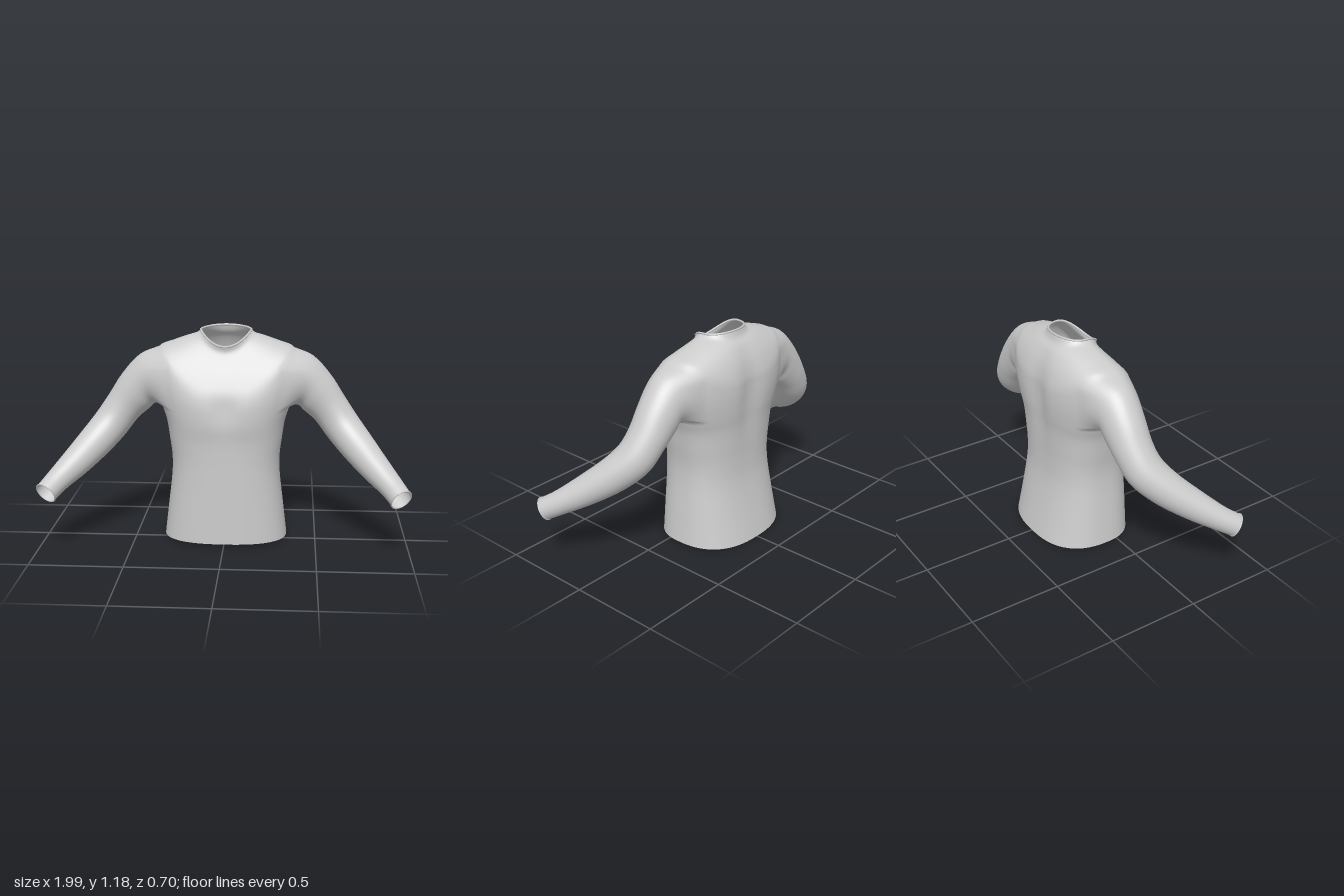
import * as THREE from 'three';
import { mergeGeometries, mergeVertices } from 'three/addons/utils/BufferGeometryUtils.js';

const V = (x, y, z) => new THREE.Vector3(x, y, z);
const STEPS = 5;            // subdivisions between key sections
const COLS = 40;            // columns of the half torso, back to front
const LO = 11, HI = 29;     // armhole columns
const ARM_A = 6, ARM_B = 9; // armhole key rows (armpit, shoulder top)

// Torso sections: side x, y, z | front y, z | back y, z
const TORSO = [
  [0.34, 0.02, -0.07, 0.02, 0.165, 0.008, -0.35],
  [0.32, 0.19, -0.07, 0.19, 0.165, 0.18, -0.313],
  [0.30, 0.36, -0.07, 0.36, 0.165, 0.35, -0.283],
  [0.297, 0.47, -0.07, 0.47, 0.165, 0.47, -0.277],
  [0.31, 0.58, -0.07, 0.58, 0.168, 0.58, -0.28],
  [0.325, 0.68, -0.07, 0.67, 0.178, 0.68, -0.286],
  [0.35, 0.76, -0.075, 0.74, 0.178, 0.76, -0.296],
  [0.375, 0.87, -0.08, 0.79, 0.172, 0.83, -0.302],
  [0.385, 0.98, -0.08, 0.84, 0.158, 0.89, -0.303],
  [0.37, 1.07, -0.08, 0.89, 0.135, 0.95, -0.298],
  [0.29, 1.105, -0.085, 0.96, 0.098, 1.03, -0.275],
  [0.21, 1.133, -0.085, 1.02, 0.062, 1.10, -0.238],
  [0.16, 1.15, -0.08, 1.06, 0.043, 1.14, -0.203],
  [0.137, 1.168, -0.08, 1.09, 0.045, 1.178, -0.188],
];

// Sleeve sections: centre x, y, z | radius up, radius across | how far the ring turns to the arm
const SLEEVE = [
  [0.435, 0.89, -0.085, 0.142, 0.122, 0.35],
  [0.50, 0.822, -0.088, 0.122, 0.112, 0.75],
  [0.57, 0.735, -0.085, 0.104, 0.105, 1],
  [0.64, 0.64, -0.06, 0.1, 0.103, 1],
  [0.715, 0.555, 0.01, 0.094, 0.094, 1],
  [0.81, 0.46, 0.125, 0.08, 0.08, 1],
  [0.895, 0.383, 0.235, 0.064, 0.064, 1],
  [0.937, 0.34, 0.305, 0.06, 0.06, 1],
];

const signedPow = (v, p) => Math.sign(v) * Math.pow(Math.abs(v), p);

// Rows of points for the model's left half of the body
function torsoGrid() {
  const curve = f => new THREE.CatmullRomCurve3(TORSO.map(f), false, 'catmullrom');
  const side = curve(r => V(r[0], r[1], r[2]));
  const front = curve(r => V(0, r[3], r[4]));
  const back = curve(r => V(0, r[5], r[6]));
  const rows = (TORSO.length - 1) * STEPS;
  const grid = [];
  for (let i = 0; i <= rows; i++) {
    const t = i / rows;
    const s = side.getPoint(t), f = front.getPoint(t), b = back.getPoint(t);
    const p = 0.8 + 0.2 * THREE.MathUtils.smoothstep(t, 0.75, 1);
    // furrow along the spine and between the chest muscles
    const chest = Math.exp(-(((t - 0.5) / 0.13) ** 2));
    const spine = Math.exp(-(((t - 0.58) / 0.22) ** 2));
    grid.push(Array.from({ length: COLS + 1 }, (_, j) => {
      const a = (j / COLS - 0.5) * Math.PI;
      const sn = Math.sin(a), end = sn > 0 ? f : b;
      const x = j % COLS ? s.x * signedPow(Math.cos(a), p) : 0;
      let z = s.z + (end.z - s.z) * Math.pow(Math.abs(sn), p);
      const groove = Math.exp(-((x / 0.07) ** 2)) * Math.abs(sn);
      z += sn > 0 ? -0.016 * chest * groove : 0.025 * spine * groove;
      return V(x, s.y + (end.y - s.y) * sn * sn, z);
    }));
  }
  return grid;
}

// Points around the armhole: top, front, bottom, back
function armholeLoop(grid) {
  const a = ARM_A * STEPS, b = ARM_B * STEPS, loop = [];
  for (let j = LO; j < HI; j++) loop.push(grid[b][j]);
  for (let i = b; i > a; i--) loop.push(grid[i][HI]);
  for (let j = HI; j > LO; j--) loop.push(grid[a][j]);
  for (let i = a; i < b; i++) loop.push(grid[i][LO]);
  return loop;
}

// Rings of points from the armhole to the cuff
function sleeveGrid(loop) {
  const centres = SLEEVE.map(r => V(r[0], r[1], r[2]));
  const angles = loop.map(p => Math.atan2(p.z - centres[0].z, p.y - centres[0].y));
  const last = centres.length - 1;
  const rings = SLEEVE.map(([, , , ru, rv, turn], i) => {
    const tangent = centres[Math.min(i + 1, last)].clone().sub(centres[Math.max(i - 1, 0)]).normalize();
    const n = V(1, 0, 0).lerp(tangent, turn).normalize();
    const u = V(0, 0, 1).cross(n).normalize();
    const v = n.clone().cross(u);
    return angles.map(a => centres[i].clone()
      .addScaledVector(u, ru * Math.cos(a)).addScaledVector(v, rv * Math.sin(a)));
  });
  const curves = loop.map((p, k) =>
    new THREE.CatmullRomCurve3([p, ...rings.map(r => r[k])], false, 'centripetal'));
  const count = SLEEVE.length * STEPS;
  return Array.from({ length: count + 1 }, (_, i) =>
    curves.map((c, k) => (i === 0 ? loop[k].clone() : c.getPoint(i / count))));
}

// Triangles between neighbouring grid rows
function skin(grid, { closed = false, flip = false, skip = () => false }) {
  const out = [];
  const cols = grid[0].length;
  for (let i = 0; i < grid.length - 1; i++) {
    for (let j = 0; j < (closed ? cols : cols - 1); j++) {
      if (skip(i, j)) continue;
      const k = (j + 1) % cols;
      const a = grid[i][j], b = grid[i + 1][j], c = grid[i + 1][k], d = grid[i][k];
      out.push(...(flip ? [a, d, b, d, c, b] : [a, b, d, d, b, c]));
    }
  }
  return new THREE.BufferGeometry().setFromPoints(out);
}

// Copy on the other side, with the corner order reversed
function mirrored(geometry) {
  const p = geometry.attributes.position, pts = [];
  for (let i = 0; i < p.count; i += 3) {
    for (const k of [i, i + 2, i + 1]) pts.push(V(-p.getX(k), p.getY(k), p.getZ(k)));
  }
  return new THREE.BufferGeometry().setFromPoints(pts);
}

export function createModel() {
  const group = new THREE.Group();
  group.name = 'longSleeveShirt';
  const material = new THREE.MeshStandardMaterial({ color: 0xcccccc, side: THREE.DoubleSide });
  const add = (name, geometry) => {
    const mesh = new THREE.Mesh(geometry, material);
    mesh.name = name;
    group.add(mesh);
  };

  // Body and sleeves as one continuous cloth
  const body = torsoGrid();
  const sleeve = sleeveGrid(armholeLoop(body));
  const inArmhole = (i, j) => i >= ARM_A * STEPS && i < ARM_B * STEPS && j >= LO && j < HI;
  const half = mergeGeometries([
    skin(body, { skip: inArmhole }),
    skin(sleeve, { closed: true, flip: true }),
  ]);
  const cloth = mergeVertices(mergeGeometries([half, mirrored(half)]), 1e-5);
  cloth.computeVertexNormals();
  add('bodyAndSleeves', cloth);

  // Thin rolled edges at the neck and wrists
  const roll = (points, r) =>
    new THREE.TubeGeometry(new THREE.CatmullRomCurve3(points, true), 72, r, 6, true);
  const neck = body[body.length - 1];
  const otherSide = neck.slice(1, -1).reverse().map(p => V(-p.x, p.y, p.z));
  add('collarEdge', roll([...neck, ...otherSide], 0.006));
  const cuff = sleeve[sleeve.length - 1];
  add('leftCuffEdge', roll(cuff, 0.004));
  add('rightCuffEdge', roll(cuff.map(p => V(-p.x, p.y, p.z)), 0.004));
  return group;
}
